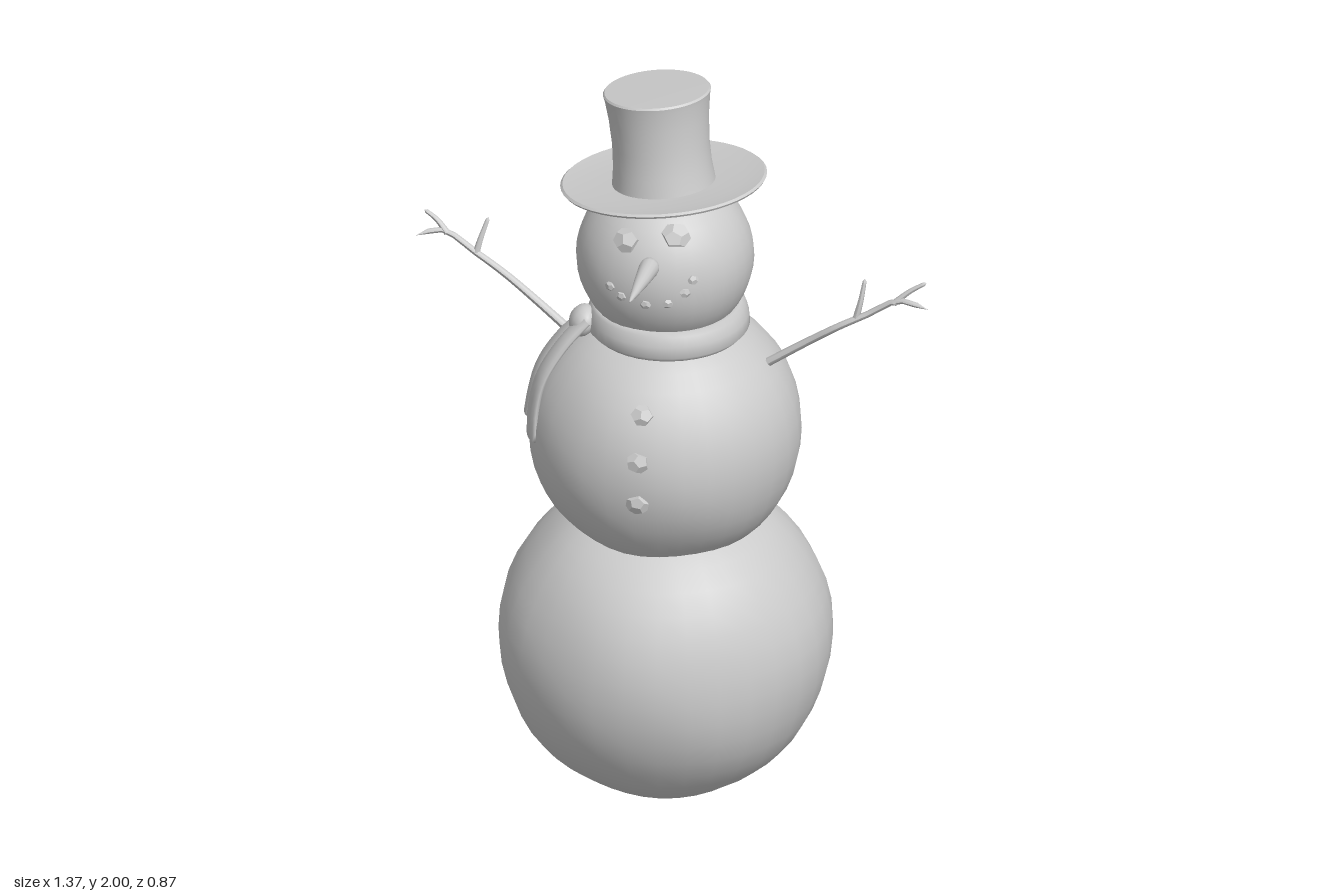
import * as THREE from 'three';
import { mergeVertices, toCreasedNormals } from 'three/addons/utils/BufferGeometryUtils.js';

const V = (x, y, z) => new THREE.Vector3(x, y, z);
const material = new THREE.MeshStandardMaterial({ color: 0xcccccc, side: THREE.DoubleSide });
const coalMaterial = new THREE.MeshStandardMaterial({ color: 0xcccccc, flatShading: true });

const HEAD = { center: V(-0.018, 1.54, 0), r: 0.228 };
const BODY = { center: V(-0.018, 1.04, 0), r: 0.352 };
const BASE = { center: V(-0.018, 0.435, -0.005), r: 0.43 };

export function createModel() {
  const model = new THREE.Group();
  const add = (name, geometry, parent = model, mat = material) => {
    const mesh = new THREE.Mesh(geometry, mat);
    mesh.name = name;
    parent.add(mesh);
    return mesh;
  };
  const addGroup = (name) => {
    const group = new THREE.Group();
    group.name = name;
    model.add(group);
    return group;
  };

  // Hand-rolled snowballs, gently uneven
  const snowball = (name, { center, r }, bump, phase) => {
    const sphere = new THREE.SphereGeometry(r, 32, 22);
    sphere.deleteAttribute('uv');
    sphere.deleteAttribute('normal');
    const geometry = mergeVertices(sphere, 1e-4);
    const pos = geometry.attributes.position;
    const v = V(0, 0, 0);
    for (let i = 0; i < pos.count; i++) {
      v.fromBufferAttribute(pos, i);
      const n = v.clone().divideScalar(r);
      const wave = Math.sin(7 * n.x + phase) * Math.cos(6 * n.y - phase) + Math.sin(8 * n.z + 5 * n.x + phase);
      v.multiplyScalar(1 + bump * wave);
      pos.setXYZ(i, v.x, v.y, v.z);
    }
    geometry.computeVertexNormals();
    add(name, geometry).position.copy(center);
  };
  snowball('bottomSnowball', BASE, 0.006, 1);
  snowball('middleSnowball', BODY, 0.005, 2.3);
  snowball('head', HEAD, 0.003, 4);

  // Coal pieces pressed into a ball at a given x, y on its front
  const coal = (name, ball, x, y, size, parent, turn) => {
    const dx = x - ball.center.x, dy = y - ball.center.y;
    const dz = Math.sqrt(ball.r ** 2 - dx * dx - dy * dy);
    const mesh = add(name, new THREE.DodecahedronGeometry(size).rotateZ(turn).scale(1, 0.9, 0.5), parent, coalMaterial);
    mesh.position.set(x, y, ball.center.z + dz);
    mesh.lookAt(mesh.position.clone().multiplyScalar(2).sub(ball.center));
  };
  const eyes = addGroup('eyes');
  coal('rightEye', HEAD, -0.074, 1.665, 0.037, eyes, 0.3);
  coal('leftEye', HEAD, 0.053, 1.685, 0.039, eyes, 0.9);
  const mouth = addGroup('mouth');
  [[-0.11, 1.54], [-0.078, 1.52], [-0.012, 1.508], [0.045, 1.514], [0.087, 1.543], [0.105, 1.577]]
    .forEach(([x, y], i) => coal('mouthCoal', HEAD, x, y, 0.015, mouth, i));
  const buttons = addGroup('buttons');
  [1.225, 1.11, 0.99].forEach((y, i) => coal('button', BODY, -0.002, y, 0.031, buttons, i * 0.7));

  // Carrot nose
  const noseBase = V(-0.005, 1.61, 0.19), noseTip = V(0, 1.627, 0.435);
  const noseProfile = [[0, 0], [0.025, 0], [0.026, 0.03], [0.019, 0.11], [0.01, 0.19], [0.004, 0.235], [0, 0.245]];
  const nose = add('carrotNose', new THREE.LatheGeometry(noseProfile.map(([x, y]) => new THREE.Vector2(x, y)), 14));
  nose.position.copy(noseBase);
  nose.quaternion.setFromUnitVectors(V(0, 1, 0), noseTip.sub(noseBase).normalize());

  // Tilted top hat: cupped brim and waisted crown
  const hatProfile = [[0, -0.012], [0.14, -0.014], [0.22, -0.011], [0.262, 0], [0.266, 0.006], [0.26, 0.011],
    [0.21, 0.004], [0.133, 0.002], [0.127, 0.05], [0.125, 0.11], [0.129, 0.18], [0.136, 0.235], [0.139, 0.248], [0.135, 0.253], [0, 0.254]];
  const hat = add('topHat', toCreasedNormals(
    new THREE.LatheGeometry(hatProfile.map(([x, y]) => new THREE.Vector2(x, y)), 48), 0.7));
  hat.position.set(-0.028, 1.735, -0.026);
  hat.quaternion.setFromUnitVectors(V(0, 1, 0), V(-0.1, 1, -0.1).normalize());

  // Stick arms: tapered tubes whose last ring closes to a point
  const stick = (name, points, r0, r1, parent) => {
    const curve = new THREE.CatmullRomCurve3(points.map((p) => V(...p)));
    const rings = 14, sides = 7;
    const geometry = new THREE.TubeGeometry(curve, rings, 1, sides);
    const pos = geometry.attributes.position;
    const v = V(0, 0, 0);
    for (let i = 0; i < pos.count; i++) {
      const ring = Math.floor(i / (sides + 1));
      const t = ring / rings;
      const c = curve.getPointAt(t);
      const r = ring === rings ? 0 : r0 + (r1 - r0) * t;
      v.fromBufferAttribute(pos, i).sub(c).multiplyScalar(r).add(c);
      pos.setXYZ(i, v.x, v.y, v.z);
    }
    geometry.computeVertexNormals();
    add(name, geometry, parent);
  };
  const arm = (name, branch, twigs) => {
    const group = addGroup(name);
    stick('branch', branch, 0.012, 0.007, group);
    twigs.forEach((points) => stick('twig', points, 0.009, 0.005, group));
  };
  arm('leftArm',
    [[0.25, 1.255, 0], [0.36, 1.335, 0.006], [0.45, 1.4, 0.018], [0.52, 1.437, 0.006], [0.605, 1.49, 0.01], [0.685, 1.483, 0.027]],
    [[[0.49, 1.425, 0.01], [0.5, 1.47, 0.004], [0.508, 1.53, -0.012]],
      [[0.59, 1.48, 0.01], [0.63, 1.515, 0], [0.672, 1.542, -0.007]]]);
  arm('rightArm',
    [[-0.27, 1.275, -0.008], [-0.37, 1.35, -0.02], [-0.45, 1.4, -0.038], [-0.53, 1.445, -0.05], [-0.625, 1.492, -0.064], [-0.687, 1.48, -0.037]],
    [[[-0.53, 1.445, -0.05], [-0.522, 1.48, -0.06], [-0.506, 1.535, -0.082]],
      [[-0.61, 1.485, -0.062], [-0.64, 1.515, -0.072], [-0.675, 1.535, -0.08]]]);

  // Scarf wrapped round the neck
  const scarf = addGroup('scarf');
  const wrapProfile = [[0.165, 1.335], [0.196, 1.33], [0.21, 1.345], [0.207, 1.375], [0.198, 1.4], [0.188, 1.41], [0.165, 1.405]];
  add('scarfWrap', new THREE.LatheGeometry(wrapProfile.map(([x, y]) => new THREE.Vector2(x, y)), 40), scarf)
    .position.x = -0.01;

  const knot = add('scarfKnot', new THREE.SphereGeometry(0.045, 14, 10).scale(0.75, 0.95, 1.05), scarf);
  knot.position.set(-0.215, 1.36, 0.08);
  knot.rotation.set(0, 0.4, -0.5);

  // Hanging tails: flat oval sections swept down the shoulder
  const tail = (name, points, widths, side) => {
    const curve = new THREE.CatmullRomCurve3(points.map((p) => V(...p)));
    const across = side.normalize();
    const rings = 16, sides = 12;
    const positions = [], index = [];
    for (let j = 0; j <= rings; j++) {
      const t = j / rings;
      const c = curve.getPointAt(t);
      const out = across.clone().cross(curve.getTangentAt(t)).normalize();
      const half = THREE.MathUtils.lerp(widths[0], widths[1], t) / 2;
      for (let i = 0; i < sides; i++) {
        const a = (i / sides) * Math.PI * 2;
        const p = c.clone().addScaledVector(across, half * Math.cos(a)).addScaledVector(out, 0.013 * Math.sin(a));
        positions.push(p.x, p.y, p.z);
        if (j < rings) {
          const k = j * sides + i, n = j * sides + ((i + 1) % sides);
          index.push(k, n, k + sides, n, n + sides, k + sides);
        }
      }
    }
    const last = rings * sides;
    for (let i = 1; i < sides - 1; i++) index.push(last, last + i, last + i + 1);
    const geometry = new THREE.BufferGeometry();
    geometry.setAttribute('position', new THREE.Float32BufferAttribute(positions, 3));
    geometry.setIndex(index);
    geometry.computeVertexNormals();
    add(name, geometry, scarf);
  };
  tail('frontScarfTail',
    [[-0.2, 1.375, 0.1], [-0.255, 1.31, 0.13], [-0.305, 1.22, 0.155], [-0.325, 1.13, 0.16], [-0.328, 1.05, 0.16]],
    [0.06, 0.085], V(0.4, 0, 0.9));
  tail('backScarfTail',
    [[-0.21, 1.37, 0.06], [-0.275, 1.3, 0.06], [-0.33, 1.21, 0.062], [-0.352, 1.13, 0.062], [-0.362, 1.07, 0.06]],
    [0.055, 0.08], V(0.15, 0, 1));

  return model;
}
